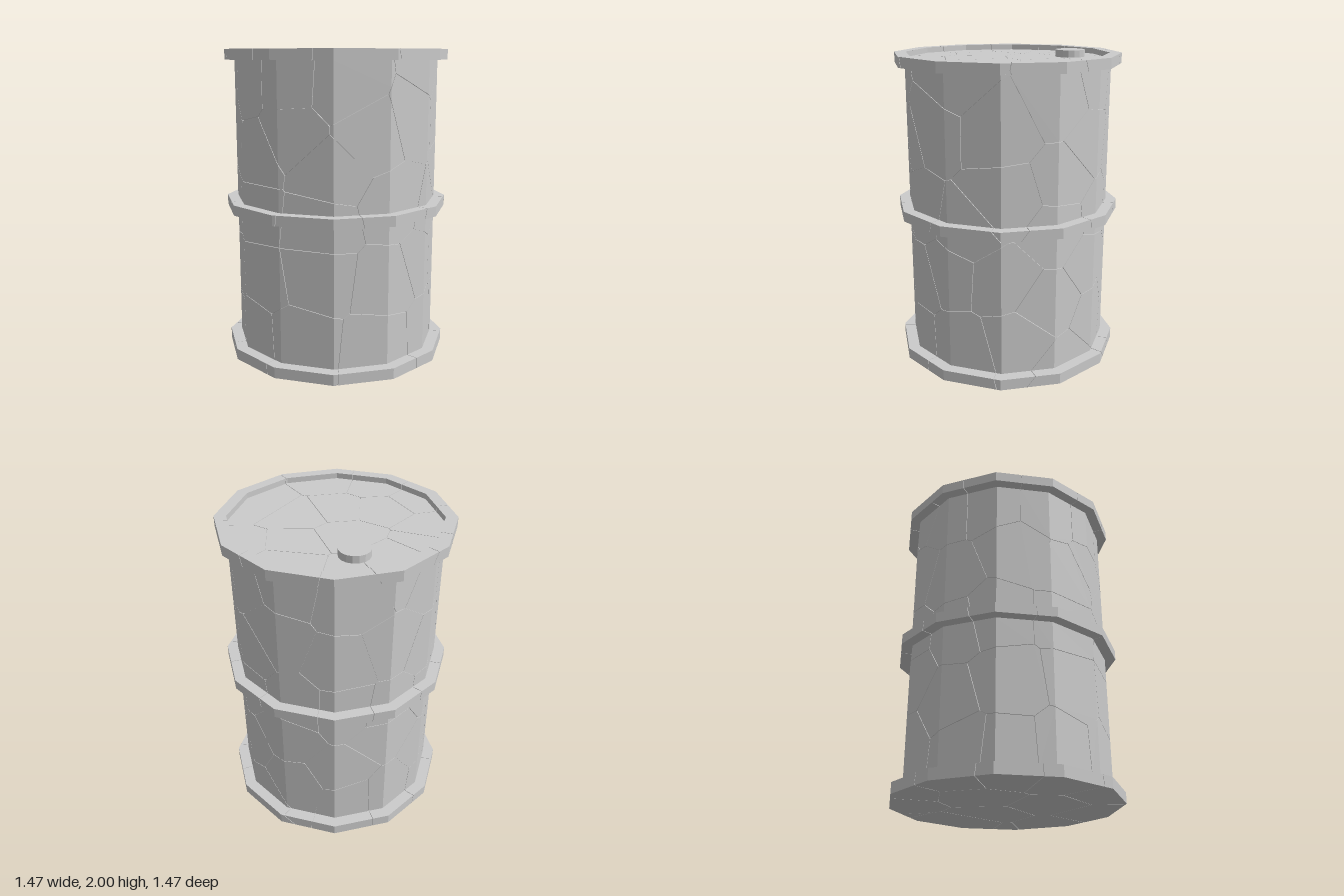
import * as THREE from 'three';

const SIDES = 12, GAP = 0.0015, DEPTH = 0.014;
const material = new THREE.MeshStandardMaterial({ color: 0xcccccc, flatShading: true, side: THREE.DoubleSide });

// Drum outline [radius, height], from the bottom centre to the recessed lid
const PROFILE = [
  [0, 0], [0.735, 0], [0.735, 0.07], [0.66, 0.07], [0.66, 0.965], [0.73, 0.965], [0.73, 1.03],
  [0.66, 1.03], [0.66, 1.925], [0.725, 1.925], [0.725, 1.99], [0.65, 1.99], [0.65, 1.955], [0, 1.955],
];
// The same outline drawn in slightly, closing the bottom of the cracks
const CORE = [
  [0, 0.012], [0.723, 0.012], [0.723, 0.058], [0.648, 0.058], [0.648, 0.977], [0.718, 0.977], [0.718, 1.018],
  [0.648, 1.018], [0.648, 1.937], [0.713, 1.937], [0.713, 1.978], [0.662, 1.978], [0.662, 1.943], [0, 1.943],
];

// Shard centres: [degrees from the front, height]
const FRONT = [
  [-28, 1.8], [4, 1.8], [35, 1.78], [-18, 1.35], [6, 1.5], [27, 1.28], [-50, 1.45], [-18, 1.0], [21, 0.96],
  [-15, 0.6], [20, 0.65], [-24, 0.2], [11, 0.22], [-54, 0.55], [-55, 0.18], [-62, 1.0], [-65, 1.8],
];
const FLANK = [
  [79, 1.6], [92, 1.88], [118, 1.6], [50, 1.5], [67, 1.06], [99, 0.98], [123, 1.2],
  [62, 0.6], [88, 0.7], [120, 0.68], [56, 0.18], [97, 0.2], [129, 0.28],
];
// Shard centres under the lid and above the base: [degrees, height, radius]
const INNER = [
  [231, 1.85, 0.19], [97, 1.85, 0.25], [172, 1.85, 0.36], [25, 1.85, 0.19], [-27, 1.85, 0.33],
  [30, 0.1, 0.25], [150, 0.1, 0.25], [270, 0.1, 0.25],
];

function polar(degrees, y, r) {
  const a = THREE.MathUtils.degToRad(degrees);
  return new THREE.Vector3(r * Math.sin(a), y, r * Math.cos(a));
}

function seeds() {
  let s = 7;
  const rand = () => (s = (s * 16807) % 2147483647) / 2147483647 - 0.5;
  const list = [...FRONT, ...FLANK].map(([a, y]) => polar(a, y, 0.55));
  list.push(...INNER.map((v) => polar(...v)));
  // Staggered, jittered centres around the back
  for (let col = 0; col < 5; col++) {
    for (let row = 0; row < 5; row++) {
      const y = 0.2 + row * 0.39 + (col % 2 ? 0.08 : -0.04) + rand() * 0.2;
      list.push(polar(152 + col * 31 + rand() * 16, y, 0.55));
    }
  }
  return list;
}

// Flat faces of the drum, each a loop of corners seen from outside
function drumFaces() {
  const faces = [];
  const step = 360 / SIDES;
  const ring = ([r, y]) => Array.from({ length: SIDES }, (_, k) => polar(k * step, y, r));
  for (let i = 0; i < PROFILE.length - 1; i++) {
    const lower = ring(PROFILE[i]), upper = ring(PROFILE[i + 1]);
    if (PROFILE[i][0] === 0) faces.push(upper.reverse());
    else if (PROFILE[i + 1][0] === 0) faces.push(lower);
    else {
      for (let k = 0; k < SIDES; k++) {
        const n = (k + 1) % SIDES;
        faces.push([lower[k], lower[n], upper[n], upper[k]]);
      }
    }
  }
  return faces;
}

// Trim a loop to one side of a plane, marking the edges that become cracks
function clip(loop, plane) {
  const out = [];
  loop.forEach((a, i) => {
    const b = loop[(i + 1) % loop.length];
    const da = plane.distanceToPoint(a.p), db = plane.distanceToPoint(b.p);
    if (da <= 0) out.push(a);
    if ((da <= 0) !== (db <= 0)) {
      out.push({ p: a.p.clone().lerp(b.p, da / (da - db)), crack: da <= 0 ? true : a.crack });
    }
  });
  return out;
}

// One shard: the surface nearest its centre, with short walls along the cracks
function shardGeometry(centre, all, faces) {
  const planes = all.filter((o) => o !== centre).map((o) => {
    const n = o.clone().sub(centre).normalize();
    const mid = o.clone().add(centre).multiplyScalar(0.5).addScaledVector(n, -GAP);
    return new THREE.Plane().setFromNormalAndCoplanarPoint(n, mid);
  });
  const pos = [];
  const tri = (...pts) => pts.forEach((p) => pos.push(p.x, p.y, p.z));
  for (const face of faces) {
    let loop = face.map((p) => ({ p, crack: false }));
    for (const plane of planes) {
      loop = clip(loop, plane);
      if (loop.length < 3) break;
    }
    if (loop.length < 3) continue;
    const inward = new THREE.Triangle(face[0], face[1], face[2])
      .getNormal(new THREE.Vector3()).multiplyScalar(-DEPTH);
    loop.forEach((a, i) => {
      const b = loop[(i + 1) % loop.length];
      if (i > 0 && i < loop.length - 1) tri(loop[0].p, a.p, b.p);
      if (a.crack) {
        const a2 = a.p.clone().add(inward), b2 = b.p.clone().add(inward);
        tri(a.p, a2, b2);
        tri(a.p, b2, b.p);
      }
    });
  }
  const g = new THREE.BufferGeometry();
  g.setAttribute('position', new THREE.Float32BufferAttribute(pos, 3));
  g.computeVertexNormals();
  return g;
}

export function createModel() {
  const model = new THREE.Group();
  model.name = 'crackedDrum';
  const add = (parent, geometry, name) => {
    const mesh = new THREE.Mesh(geometry, material);
    mesh.name = name;
    parent.add(mesh);
    return mesh;
  };

  // Cracked outer shell with its three hoops and lid
  const shell = new THREE.Group();
  shell.name = 'drumShell';
  model.add(shell);
  const centres = seeds(), faces = drumFaces();
  centres.forEach((c, i) => {
    const g = shardGeometry(c, centres, faces);
    if (g.attributes.position.count) add(shell, g, `shard${i + 1}`);
  });

  // Solid core behind the cracks
  add(model, new THREE.LatheGeometry(CORE.map(([r, y]) => new THREE.Vector2(r, y)), SIDES), 'drumCore');

  // Filler cap on the lid
  add(model, new THREE.CylinderGeometry(0.095, 0.095, 0.05, 16), 'fillerCap').position.set(-0.295, 1.975, -0.295);

  return model;
}
